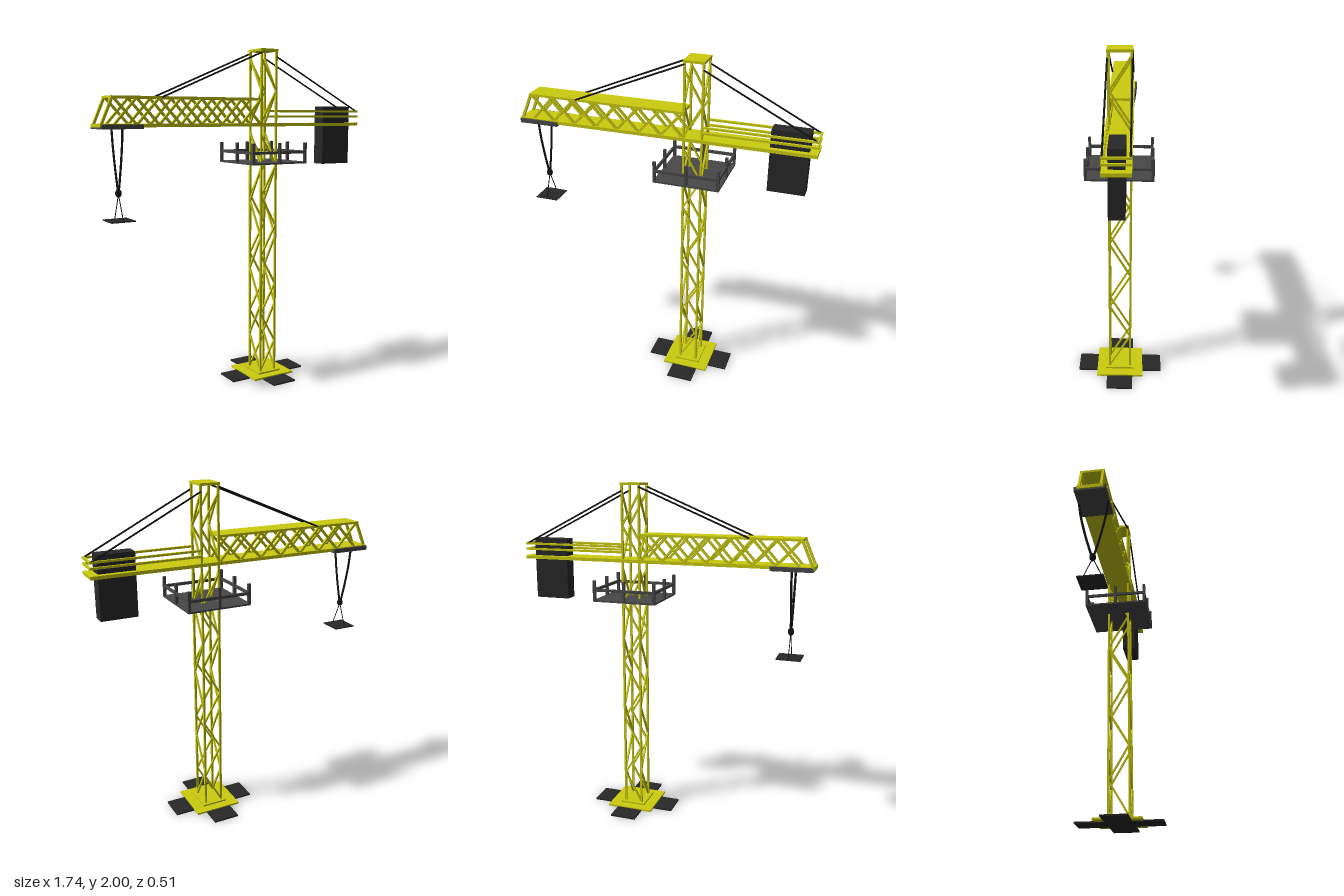
import * as THREE from 'three';

const mat = (color) => new THREE.MeshStandardMaterial({ color });
const yellow = mat(0xcccc10), dark = mat(0x282828), grey = mat(0x484848), black = mat(0x141414);

const MX = 0.1875, HX = 0.052, HZ = 0.062; // mast centre and half spacing of its posts

export function createModel() {
  const crane = new THREE.Group();
  crane.name = 'towerCrane';

  const group = (name) => {
    const g = new THREE.Group();
    g.name = name;
    crane.add(g);
    return g;
  };
  const add = (parent, name, geometry, material) => {
    const m = new THREE.Mesh(geometry, material);
    m.name = name;
    parent.add(m);
    return m;
  };
  // Box given by its limits on each axis
  const box = (parent, name, material, x0, x1, y0, y1, z0, z1) => {
    const m = add(parent, name, new THREE.BoxGeometry(x1 - x0, y1 - y0, z1 - z0), material);
    m.position.set((x0 + x1) / 2, (y0 + y1) / 2, (z0 + z1) / 2);
    return m;
  };
  // Straight bar between two points: square, or round with more sides
  const bar = (parent, name, material, a, b, width, sides = 4) => {
    const p = new THREE.Vector3(...a), q = new THREE.Vector3(...b);
    const r = sides === 4 ? width / Math.SQRT2 : width / 2;
    const geo = new THREE.CylinderGeometry(r, r, p.distanceTo(q), sides);
    if (sides === 4) geo.rotateY(Math.PI / 4);
    const m = add(parent, name, sides === 4 ? geo.toNonIndexed() : geo, material);
    if (sides === 4) m.geometry.computeVertexNormals();
    m.position.copy(p).add(q).multiplyScalar(0.5);
    m.quaternion.setFromUnitVectors(new THREE.Vector3(0, 1, 0), q.sub(p).normalize());
    return m;
  };

  // Base: crossed ground plates with two stacked yellow plates
  const base = group('base');
  box(base, 'groundPlateLong', dark, MX - 0.255, MX + 0.255, 0, 0.009, -0.078, 0.078);
  box(base, 'groundPlateCross', dark, MX - 0.078, MX + 0.078, 0.0005, 0.0095, -0.255, 0.255);
  box(base, 'basePlate', yellow, MX - 0.14, MX + 0.14, 0.005, 0.016, -0.14, 0.14);
  box(base, 'mastFoot', yellow, MX - 0.078, MX + 0.078, 0.012, 0.026, -0.088, 0.088);

  // Mast: four posts, zigzag bracing on each face, cap
  const mast = group('mast');
  for (const sx of [-1, 1])
    for (const sz of [-1, 1])
      bar(mast, 'mastPost', yellow, [MX + sx * HX, 0.02, sz * HZ], [MX + sx * HX, 1.99, sz * HZ], 0.012);
  const zigzag = (y0, step, count, point) => {
    for (let i = 0; i < count; i++) {
      const s = i % 2 ? 1 : -1;
      bar(mast, 'mastBrace', yellow, point(s, y0 + i * step), point(-s, y0 + (i + 1) * step), 0.01);
    }
  };
  for (const side of [-1, 1]) {
    const faceZ = (s, y) => [MX + s * HX, y, side * HZ];
    const faceX = (s, y) => [MX + side * HX, y, -s * HZ];
    zigzag(0.03, 0.183, 8, faceZ);
    zigzag(1.575, 0.183, 2, faceZ);
    zigzag(0.03, 0.212, 7, faceX);
    zigzag(1.56, 0.195, 2, (s, y) => faceX(-s, y));
  }
  box(mast, 'mastCap', yellow, MX - 0.06, MX + 0.06, 1.986, 2, -0.07, 0.07);

  // Boom: continuous deck, top plate and crossed bracing
  const boom = group('boom');
  box(boom, 'boomDeck', yellow, -0.87, 0.87, 1.546, 1.565, -0.073, 0.073);
  box(boom, 'boomTopPlate', yellow, -0.805, 0.13, 1.7, 1.713, -0.068, 0.068);
  const x0 = -0.79, bays = 7, bay = (0.13 - x0) / bays;
  for (const z of [-0.06, 0.06]) {
    bar(boom, 'boomEndStrut', yellow, [-0.862, 1.556, z], [-0.797, 1.705, z], 0.014);
    for (let i = 0; i < bays; i++) {
      const a = x0 + i * bay, b = a + bay;
      bar(boom, 'boomBrace', yellow, [a, 1.56, z], [b, 1.704, z], 0.013);
      bar(boom, 'boomBrace', yellow, [a, 1.704, z], [b, 1.56, z], 0.013);
    }
  }

  // Rear boom rails, joined across the end
  const rails = group('rearRails');
  for (const y of [1.605, 1.637]) {
    for (const z of [-0.066, 0.066])
      box(rails, 'sideRail', yellow, 0.24, 0.87, y - 0.006, y + 0.006, z - 0.006, z + 0.006);
    box(rails, 'endRail', yellow, 0.858, 0.87, y - 0.006, y + 0.006, -0.066, 0.066);
  }
  box(crane, 'counterweight', dark, 0.612, 0.822, 1.306, 1.667, -0.042, 0.042);

  // Stay cables from the mast top
  const stays = group('stayCables');
  for (const z of [-0.066, 0.066]) {
    bar(stays, 'frontStay', black, [0.135, 1.977, z], [-0.51, 1.708, z], 0.01, 8);
    bar(stays, 'rearStay', black, [0.24, 1.955, z], [0.862, 1.638, z], 0.01, 8);
  }

  // Work platform with guard rails
  const platform = group('platform');
  const px = 0.19, pz = 0.188;
  box(platform, 'platformFloor', grey, MX - px, MX + px, 1.326, 1.336, -pz, pz);
  for (const s of [-1, 1]) {
    const x = MX + s * (px - 0.007), z = s * (pz - 0.007);
    box(platform, 'guardRail', grey, MX - px, MX + px, 1.386, 1.402, z - 0.006, z + 0.006);
    box(platform, 'guardRail', grey, x - 0.006, x + 0.006, 1.386, 1.402, -pz, pz);
  }
  for (const i of [-1, 0, 1])
    for (const k of [-1, 0, 1]) {
      if (!i && !k) continue;
      const x = MX + i * (px - 0.007), z = k * (pz - 0.007);
      box(platform, 'railPost', grey, x - 0.008, x + 0.008, 1.33, 1.45, z - 0.008, z + 0.008);
    }

  // Trolley under the boom tip
  const trolley = group('trolley');
  box(trolley, 'trolleyPlate', grey, -0.865, -0.63, 1.537, 1.55, -0.086, 0.086);
  for (const z of [-0.08, 0.08]) {
    box(trolley, 'trolleyRail', grey, -0.865, -0.63, 1.537, 1.561, z - 0.006, z + 0.006);
    const wheel = add(trolley, 'trolleyWheel', new THREE.CylinderGeometry(0.012, 0.012, 0.014, 12), grey);
    wheel.rotation.x = Math.PI / 2;
    wheel.position.set(-0.85, 1.549, z);
  }

  // Hoist ropes, hook block, slings and load plate
  const hoist = group('hoist');
  const hx = -0.75;
  for (const s of [-1, 1]) {
    const rope = new THREE.CatmullRomCurve3([
      [1.54, 0.08], [1.45, 0.068], [1.33, 0.042], [1.24, 0.018], [1.19, 0.003],
    ].map(([y, z]) => new THREE.Vector3(hx, y, s * z)));
    add(hoist, 'hoistRope', new THREE.TubeGeometry(rope, 20, 0.0065, 8), black);
    bar(hoist, 'sling', black, [hx, 1.185, 0], [hx, 1.042, s * 0.064], 0.005, 6);
  }
  const hook = add(hoist, 'hookBlock', new THREE.SphereGeometry(0.018, 16, 12), black);
  hook.position.set(hx, 1.19, 0);
  hook.scale.y = 1.25;
  box(hoist, 'loadPlate', dark, hx - 0.07, hx + 0.07, 1.037, 1.043, -0.07, 0.07);

  return crane;
}
